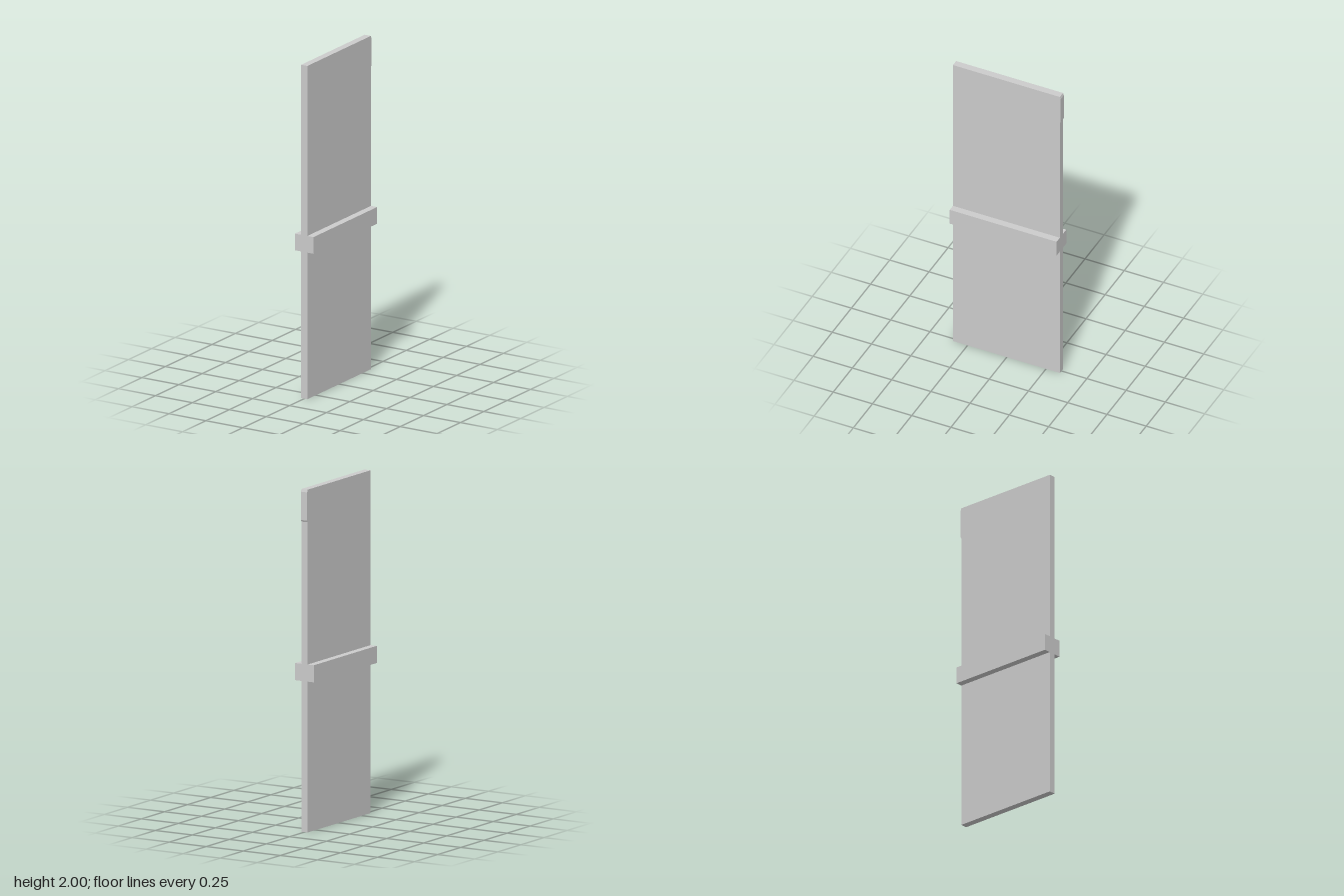
import * as THREE from 'three';

export function createModel() {
  const group = new THREE.Group();
  const material = new THREE.MeshStandardMaterial({ color: 0xcccccc, flatShading: true });

  // Side profile (z, y) of the thin panel, with a slight swell at the upper back edge
  const thickness = 0.042;
  const profile = new THREE.Shape([
    [0.343, 0], [0.343, 2], [-0.338, 2], [-0.343, 1.985], [-0.343, 1.82], [-0.338, 1.81], [-0.338, 0],
  ].map(([z, y]) => new THREE.Vector2(z, y)));
  const panelGeometry = new THREE.ExtrudeGeometry(profile, { depth: thickness, bevelEnabled: false });
  panelGeometry.translate(0, 0, -thickness / 2).rotateY(-Math.PI / 2);
  const panel = new THREE.Mesh(panelGeometry, material);
  panel.name = 'panel';
  group.add(panel);

  // Horizontal rail on each face of the panel
  const railDepth = 0.042;
  for (const side of [-1, 1]) {
    const rail = new THREE.Mesh(new THREE.BoxGeometry(railDepth, 0.1, 0.681), material);
    rail.position.set(side * (thickness + railDepth) / 2, 0.93, 0.0025);
    rail.name = side > 0 ? 'leftRail' : 'rightRail';
    group.add(rail);
  }

  return group;
}
